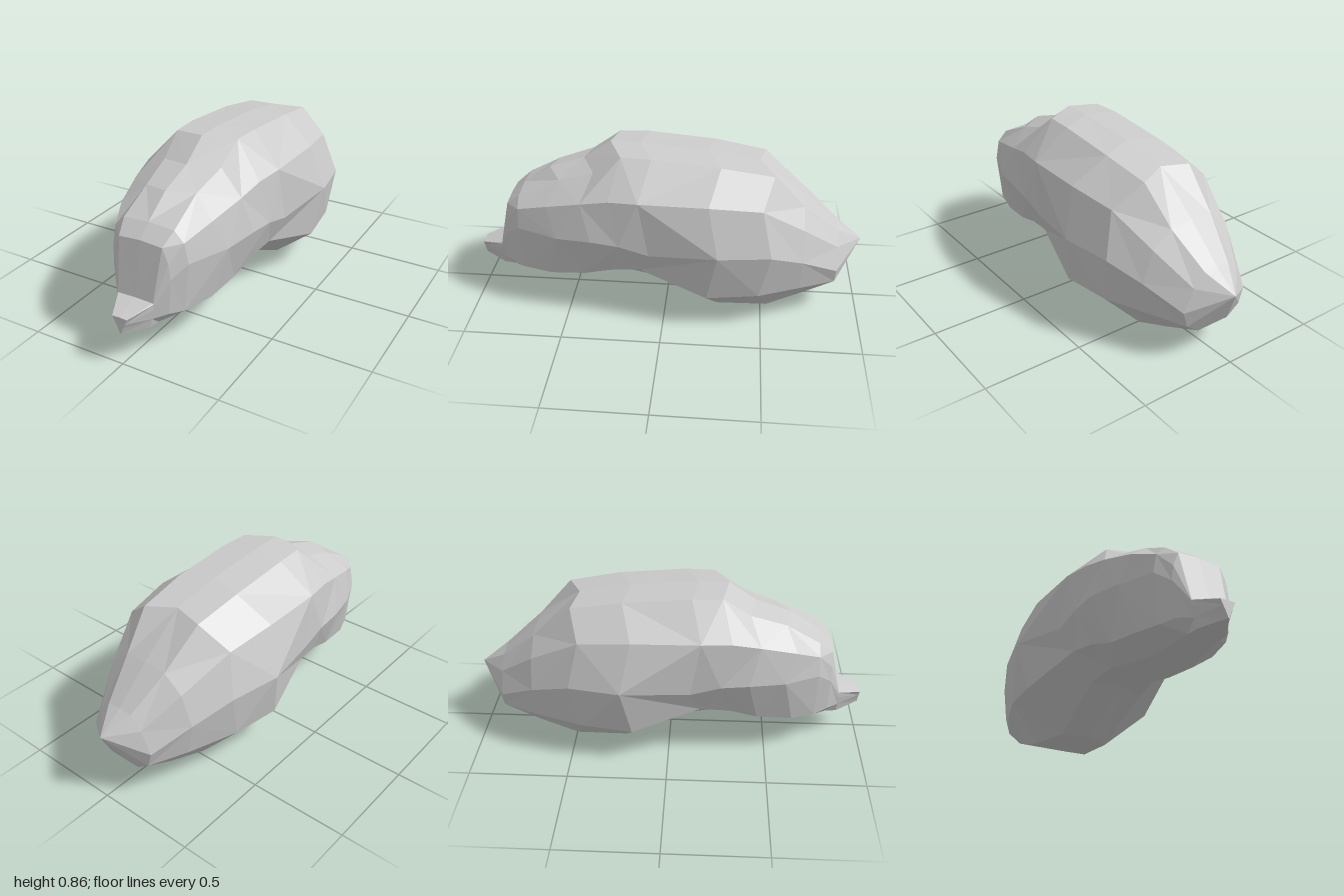
import * as THREE from 'three';

// Cross-sections from front to back: z, top, bottom, crown half width, base half
// width, then x and y of the shoulder, the widest point and the lower flank
const SECTIONS = [
  [1.00, 0.25, 0.165, 0.040, 0.003, 0.037, 0.243, 0.026, 0.22, 0.014, 0.195],
  [0.88, 0.288, 0.150, 0.094, 0.075, 0.099, 0.28, 0.097, 0.25, 0.088, 0.20],
  [0.82, 0.55, 0.148, 0.115, 0.080, 0.145, 0.47, 0.155, 0.39, 0.140, 0.21],
  [0.75, 0.61, 0.142, 0.135, 0.085, 0.185, 0.55, 0.205, 0.45, 0.180, 0.20],
  [0.59, 0.705, 0.13, 0.125, 0.115, 0.235, 0.60, 0.285, 0.45, 0.225, 0.20],
  [0.41, 0.765, 0.158, 0.145, 0.130, 0.280, 0.65, 0.325, 0.46, 0.245, 0.22],
  [0.27, 0.862, 0.188, 0.155, 0.135, 0.305, 0.68, 0.335, 0.45, 0.260, 0.265],
  [0.12, 0.862, 0.168, 0.165, 0.150, 0.325, 0.69, 0.340, 0.41, 0.285, 0.285],
  [-0.22, 0.835, 0, 0.165, 0.140, 0.335, 0.69, 0.412, 0.45, 0.365, 0.19],
  [-0.48, 0.79, 0.02, 0.150, 0.160, 0.300, 0.66, 0.360, 0.44, 0.335, 0.20],
  [-0.69, 0.61, 0.075, 0.120, 0.130, 0.220, 0.52, 0.280, 0.37, 0.250, 0.20],
  [-0.87, 0.45, 0.14, 0.070, 0.090, 0.130, 0.38, 0.185, 0.27, 0.160, 0.19],
];
const FRONT_TIP = [0, 0.215, 1];
const BACK_TIP = [0, 0.36, -1];

// Turns one section into a closed ring, slightly uneven like worn stone
function ring([z, top, bottom, crown, base, sx, sy, wx, wy, fx, fy], i) {
  const half = [
    [crown, top - 0.02 * (top - bottom)],
    [sx, sy],
    [wx, wy],
    [fx, fy],
    [base, bottom],
  ];
  const outline = [
    [0, top], ...half, [0, bottom],
    ...half.slice().reverse().map(([x, y]) => [-x, y]),
  ];
  const rough = Math.abs(z) < 0.65 ? 1 : 0;
  return outline.map(([x, y], j) => [
    x * (1 + rough * 0.01 * Math.sin(i * 2.3 + j * 1.7)),
    y,
    z + rough * ((j % 2 ? -0.03 : 0.02) - 0.02 * Math.sign(x)),
  ]);
}

function stoneGeometry() {
  const rings = SECTIONS.map(ring);
  const n = rings[0].length;
  const pos = [];
  const tri = (a, b, c) => pos.push(...a, ...b, ...c);

  // Skin between neighbouring rings, with alternating diagonals
  for (let i = 0; i < rings.length - 1; i++) {
    for (let j = 0; j < n; j++) {
      const k = (j + 1) % n;
      const a = rings[i][j], b = rings[i][k];
      const c = rings[i + 1][k], d = rings[i + 1][j];
      if ((i + j) % 2) {
        tri(a, b, c);
        tri(a, c, d);
      } else {
        tri(a, b, d);
        tri(b, c, d);
      }
    }
  }

  // Blunt front end and pointed back end
  const first = rings[0], last = rings[rings.length - 1];
  for (let j = 0; j < n; j++) {
    const k = (j + 1) % n;
    tri(FRONT_TIP, first[k], first[j]);
    tri(BACK_TIP, last[j], last[k]);
  }

  const geometry = new THREE.BufferGeometry();
  geometry.setAttribute('position', new THREE.Float32BufferAttribute(pos, 3));
  geometry.computeVertexNormals();
  return geometry;
}

export function createModel() {
  const model = new THREE.Group();
  model.name = 'rock';
  const material = new THREE.MeshStandardMaterial({ color: 0xcccccc, flatShading: true });
  const stone = new THREE.Mesh(stoneGeometry(), material);
  stone.name = 'stone';
  model.add(stone);
  return model;
}
